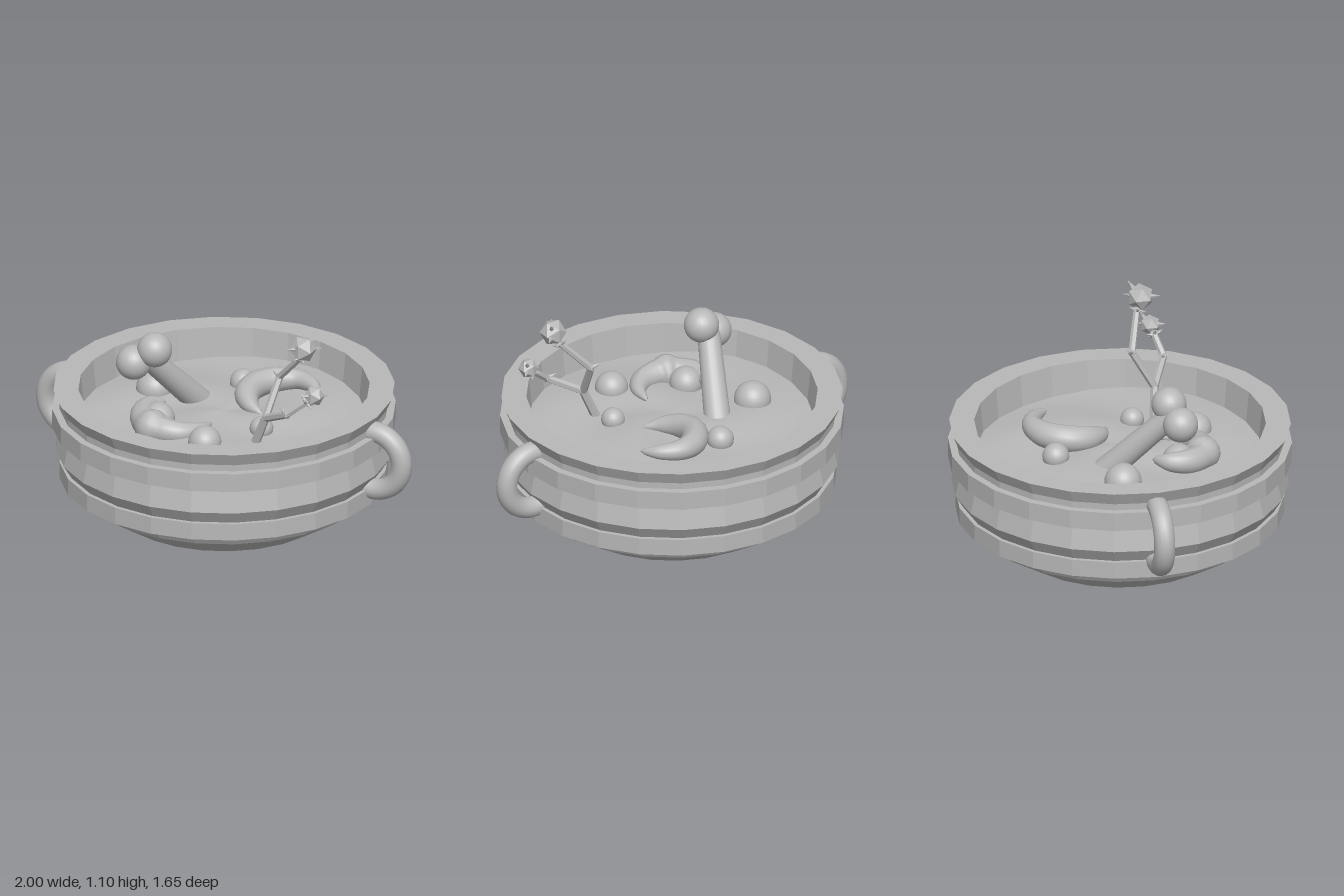
import * as THREE from 'three';

const stone = new THREE.MeshStandardMaterial({ color: 0xb8b8b8 });
stone.name = 'stoneGrey';

const V = (p) => new THREE.Vector3(p[0], p[1], p[2]);

// Gives a geometry one normal per face
function facet(geometry) {
  const g = geometry.index ? geometry.toNonIndexed() : geometry;
  g.computeVertexNormals();
  return g;
}

function add(parent, name, geometry, position) {
  const mesh = new THREE.Mesh(geometry, stone);
  mesh.name = name;
  if (position) mesh.position.set(...position);
  parent.add(mesh);
  return mesh;
}

// Straight tapered rod between two points
function rod(a, b, ra, rb, sides) {
  const dir = V(b).sub(V(a));
  const g = new THREE.CylinderGeometry(rb, ra, dir.length(), sides);
  g.translate(0, dir.length() / 2, 0);
  g.applyQuaternion(new THREE.Quaternion().setFromUnitVectors(new THREE.Vector3(0, 1, 0), dir.normalize()));
  return g.translate(...a);
}

// Curved horn through points [x, y, z, radius]
function horn(points) {
  const curve = new THREE.CatmullRomCurve3(points.map(V));
  const radii = new THREE.CatmullRomCurve3(points.map((p) => new THREE.Vector3(p[3], 0, 0)));
  const rings = 36, sides = 16;
  const g = new THREE.TubeGeometry(curve, rings, 1, sides);
  const pos = g.attributes.position;
  for (let i = 0; i <= rings; i++) {
    const t = curve.getUtoTmapping(i / rings);
    const centre = curve.getPoint(t);
    const r = i === 0 || i === rings ? 0.002 : Math.max(0.006, radii.getPoint(t).x);
    for (let j = 0; j <= sides; j++) {
      const k = i * (sides + 1) + j;
      const v = new THREE.Vector3().fromBufferAttribute(pos, k).sub(centre).multiplyScalar(r).add(centre);
      pos.setXYZ(k, v.x, v.y, v.z);
    }
  }
  g.computeVertexNormals();
  return g;
}

// Faceted stem with a thorny head at its end
function thornStem(name, path, headRadius) {
  const group = new THREE.Group();
  group.name = name;
  const last = path.length - 1;
  for (let i = 0; i < last; i++) {
    add(group, 'stemSegment', facet(rod(path[i], path[i + 1], 0.02 - i * 0.002, 0.018 - i * 0.002, 6)));
    if (i > 0) add(group, 'stemKnot', facet(new THREE.IcosahedronGeometry(0.021, 0)), path[i]);
  }
  const head = V(path[last]);
  add(group, 'head', facet(new THREE.IcosahedronGeometry(headRadius, 0)), path[last]);
  const axis = head.clone().sub(V(path[last - 1])).normalize();
  const side = new THREE.Vector3(0, 0, 1).cross(axis).normalize();
  // Collar thorns under the head
  for (let i = 0; i < 5; i++) {
    const out = side.clone().applyAxisAngle(axis, (i * Math.PI * 2) / 5);
    const from = head.clone().addScaledVector(axis, -headRadius * 1.05);
    const to = from.clone().addScaledVector(out, 0.045).addScaledVector(axis, 0.006);
    add(group, 'collarThorn', facet(rod(from.toArray(), to.toArray(), 0.014, 0.001, 5)));
  }
  // Thorns on the head
  for (const d of [[0.55, 0.8, -0.6], [-0.5, 0.2, 0.9], [0.7, -0.1, -0.7]]) {
    const n = V(d).normalize();
    const from = head.clone().addScaledVector(n, headRadius * 0.7);
    const to = head.clone().addScaledVector(n, headRadius * 1.5);
    add(group, 'headThorn', facet(rod(from.toArray(), to.toArray(), 0.013, 0.001, 5)));
  }
  // Thorns on the elbow
  for (const d of [[-0.045, 0.02, -0.015], [0.02, 0.01, -0.035]]) {
    const p = path[1];
    add(group, 'elbowThorn', facet(rod(p, [p[0] + d[0], p[1] + d[1], p[2] + d[2]], 0.014, 0.001, 5)));
  }
  return group;
}

export function createModel() {
  const model = new THREE.Group();
  model.name = 'cauldron';

  // Bowl: base, two raised bands, flared rim, inner wall
  const profile = [
    [0, 0], [0.51, 0], [0.70, 0.12], [0.735, 0.18], [0.79, 0.18], [0.79, 0.265], [0.77, 0.265],
    [0.81, 0.33], [0.785, 0.45], [0.826, 0.45], [0.826, 0.543], [0.79, 0.543], [0.79, 0.575],
    [0.82, 0.64], [0.70, 0.64], [0.68, 0.44],
  ].map(([x, y]) => new THREE.Vector2(x, y));
  add(model, 'bowl', facet(new THREE.LatheGeometry(profile, 24)));

  // Rippled soup surface
  const rings = [];
  for (let i = 0; i <= 16; i++) rings.push(new THREE.Vector2(0.69 * (1 - i / 16), 0.515));
  const soup = new THREE.LatheGeometry(rings, 48);
  const pos = soup.attributes.position;
  for (let i = 0; i < pos.count; i++) {
    const x = pos.getX(i), z = pos.getZ(i), r = Math.hypot(x, z);
    const swirl = Math.sin(3 * Math.atan2(z, x) + 9 * r) * 0.01 * Math.min(1, r * 4);
    pos.setY(i, 0.515 + swirl - 0.05 * r * r);
  }
  soup.computeVertexNormals();
  add(model, 'soup', soup);

  // Side handles
  for (const s of [1, -1]) {
    const arc = Math.PI * 1.2;
    const g = new THREE.TorusGeometry(0.15, 0.051, 16, 28, arc);
    g.rotateZ(-arc / 2);
    if (s < 0) g.rotateY(Math.PI);
    add(model, s > 0 ? 'leftHandle' : 'rightHandle', g, [s * 0.8, 0.41, 0]);
  }

  // Bone leaning out of the soup
  const bone = new THREE.Group();
  bone.name = 'bone';
  add(bone, 'boneShaft', rod([-0.17, 0.44, -0.15], [-0.33, 0.81, 0.185], 0.066, 0.054, 20));
  add(bone, 'boneKnuckle', new THREE.SphereGeometry(0.085, 24, 16), [-0.38, 0.775, 0.21]);
  add(bone, 'boneKnuckle', new THREE.SphereGeometry(0.085, 24, 16), [-0.285, 0.845, 0.175]);
  model.add(bone);

  // Floating balls
  for (const [x, z, r] of [[-0.41, -0.08, 0.09], [-0.06, -0.33, 0.065], [0.26, 0.12, 0.057],
    [0.09, 0.39, 0.08], [-0.235, 0.235, 0.08]]) {
    add(model, 'floatingBall', new THREE.SphereGeometry(r, 24, 16), [x, 0.52, z]);
  }

  // Floating crescents
  add(model, 'backCrescent', horn([
    [0.19, 0.52, -0.025, 0.008], [0.105, 0.53, -0.075, 0.042], [0.045, 0.545, -0.16, 0.062],
    [0.045, 0.555, -0.26, 0.066], [0.11, 0.56, -0.35, 0.062], [0.205, 0.565, -0.385, 0.05],
    [0.30, 0.565, -0.35, 0.036], [0.365, 0.56, -0.28, 0.012]]));
  add(model, 'frontCrescent', horn([
    [-0.26, 0.55, 0.10, 0.012], [-0.31, 0.55, 0.17, 0.045], [-0.305, 0.54, 0.26, 0.06],
    [-0.25, 0.53, 0.335, 0.066], [-0.16, 0.53, 0.37, 0.066], [-0.065, 0.525, 0.355, 0.056],
    [0, 0.525, 0.29, 0.038], [0.025, 0.525, 0.18, 0.008]]));

  // Forked thorny plant
  const plant = new THREE.Group();
  plant.name = 'thornyPlant';
  const fork = [0.345, 0.64, 0.25];
  add(plant, 'plantStem', facet(rod([0.27, 0.46, 0.23], fork, 0.024, 0.021, 6)));
  plant.add(thornStem('tallBranch', [fork, [0.37, 0.82, 0.145], [0.51, 0.97, 0.2], [0.535, 1.03, 0.225]], 0.066));
  plant.add(thornStem('shortBranch', [fork, [0.5, 0.72, 0.33], [0.6, 0.8, 0.305], [0.63, 0.83, 0.295]], 0.05));
  model.add(plant);

  return model;
}
